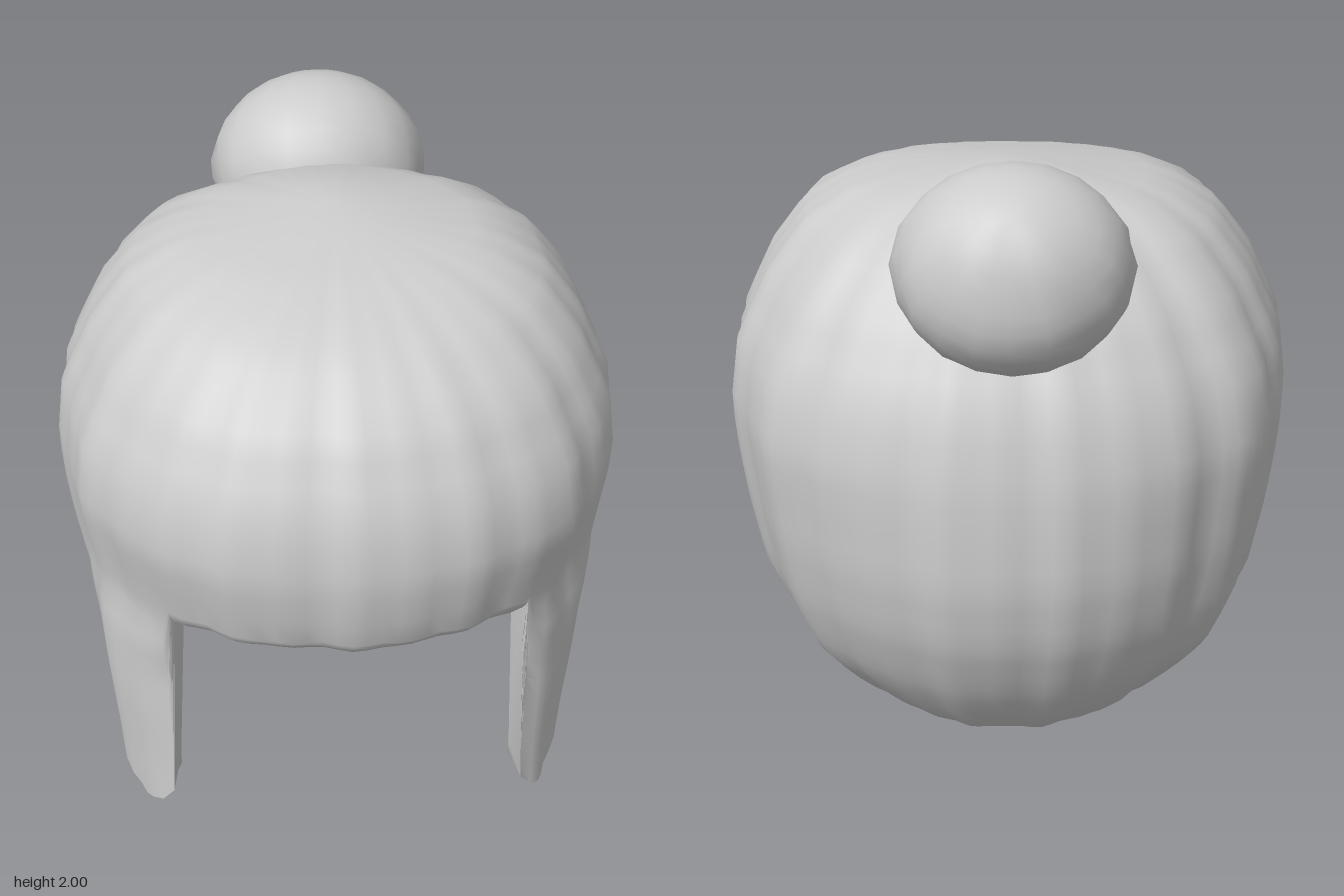
import * as THREE from 'three';
import { toCreasedNormals } from 'three/addons/utils/BufferGeometryUtils.js';

// Piecewise-linear lookup; keys rise
function lookup(keys, values, k) {
  if (k <= keys[0]) return values[0];
  for (let i = 1; i < keys.length; i++) {
    if (k <= keys[i]) {
      const t = (k - keys[i - 1]) / (keys[i] - keys[i - 1]);
      return values[i - 1] + (values[i] - values[i - 1]) * t;
    }
  }
  return values[values.length - 1];
}

const TOP = 1.84, BAND = 0.9, LOCK_X = 0.53;

// Half-widths of the hair at each height, in four directions
const heights = [0, 0.2, 0.4, 0.6, 0.8, 0.95, 1.15, 1.35, 1.55, 1.7, 1.8, 1.84];
const frontZ = [0.72, 0.7, 0.69, 0.7, 0.82, 0.86, 0.885, 0.845, 0.73, 0.54, 0.29, 0];
const backZ = [0.45, 0.63, 0.75, 0.84, 0.875, 0.87, 0.85, 0.79, 0.67, 0.52, 0.36, 0];
const sideFrontX = [0.73, 0.745, 0.765, 0.79, 0.825, 0.845, 0.855, 0.83, 0.735, 0.625, 0.46, 0];
const sideBackX = [0.4, 0.58, 0.72, 0.79, 0.825, 0.845, 0.855, 0.83, 0.735, 0.625, 0.46, 0];
// Squareness of the plan: the side locks have boxy outer corners
const frontPower = [3.5, 3.5, 3.5, 3.1, 2.1, 2.05, 2.3, 2.3, 2.3, 2.3, 2.3, 2.3];
const backPower = [2, 2, 2, 2, 2.05, 2.1, 2.3, 2.3, 2.3, 2.3, 2.3, 2.3];

// Hem height by angle from the front: fringe, side lock, ear gap, nape
const hemAngles = [0, 20, 39, 42, 45, 51, 57, 63, 66, 72, 76, 80, 84, 88, 92, 100, 108, 116, 127, 140, 170, 180];
const hemHeights = [0.8, 0.82, 0.84, 0.1, 0.04, 0, 0.02, 0.09, 0.2, 0.42, 0.6, 0.73, 0.76, 0.75, 0.67, 0.48, 0.35, 0.28, 0.21, 0.17, 0.14, 0.16];

// Rounded-square plan radius with soft strand ridges
function radius(angle, deg, y) {
  const front = deg < 90;
  const rz = lookup(heights, front ? frontZ : backZ, y);
  const rx = lookup(heights, front ? sideFrontX : sideBackX, y);
  const p = lookup(heights, front ? frontPower : backPower, y);
  if (rx < 1e-4) return 0;
  const r = Math.pow(
    Math.pow(Math.abs(Math.sin(angle)) / rx, p) + Math.pow(Math.abs(Math.cos(angle)) / rz, p), -1 / p);
  const strands = 0.006 * Math.cos(angle * 30) + 0.006 * Math.sin(angle * 17 + 1) + 0.005 * Math.sin(angle * 11);
  const layerEdge = 0.025 * Math.exp(-(((deg - 128) / 7) ** 2));
  return r * (1 + strands + layerEdge);
}

// Closed shell: crown to hem outside, hem to crown inside
function hairGeometry(columns = 120, rows = 28) {
  const pos = [], index = [];
  const total = rows * 2;
  pos.push(0, TOP + 0.01, 0);
  for (let i = 1; i < total; i++) {
    const inner = i > rows;
    const s = (inner ? total - i : i) / rows;
    for (let j = 0; j < columns; j++) {
      const a = (j / columns) * Math.PI * 2;
      const deg = (Math.min(j, columns - j) * 360) / columns;
      const fringe = deg < 40;
      const lock = !fringe && deg < 82;
      const ripple = deg > 95 ? 0.01 * Math.sin(a * 13) : 0;
      const hem = lookup(hemAngles, hemHeights, deg) + ripple;
      const lower = Math.max(0, (s - 0.6) / 0.4);
      let y = s < 0.6 ? TOP - (TOP - BAND) * (s / 0.6) ** 1.9 : BAND + (hem - BAND) * lower;
      // The hem curls inward, most of all at the middle of the fringe
      let r = radius(a, deg, y);
      if (fringe) r -= 0.08 * Math.cos(a * 2) * lower ** 2;
      else if (!lock) r -= 0.04 * Math.max(0, (s - 0.85) / 0.15) ** 2;
      // Thin lining, thicker in the side locks
      if (inner) {
        r = Math.max(0, r - 0.05 * Math.min(1, s * 3) - (lock ? 0.07 * lower : 0));
        y -= 0.05 * Math.max(0, 1 - s / 0.6);
      }
      let x = Math.sin(a) * r;
      const z = Math.cos(a) * r;
      // Flat inner face of the side locks
      if (lock && y < BAND) x = Math.sign(x) * Math.max(Math.abs(x), LOCK_X);
      // Low crest in front of the bun
      if (!inner) y += 0.04 * Math.exp(-(x * x + (z + 0.2) ** 2) / 0.05);
      pos.push(x, y, z);
    }
  }
  pos.push(0, TOP - 0.05, 0);
  const last = pos.length / 3 - 1;
  const id = (i, j) => (i === 0 ? 0 : i === total ? last : 1 + (i - 1) * columns + (j % columns));
  for (let i = 0; i < total; i++) {
    for (let j = 0; j < columns; j++) {
      const a = id(i, j), b = id(i + 1, j), c = id(i + 1, j + 1), d = id(i, j + 1);
      if (i < total - 1) index.push(a, b, c);
      if (i > 0) index.push(a, c, d);
    }
  }
  const geo = new THREE.BufferGeometry();
  geo.setAttribute('position', new THREE.Float32BufferAttribute(pos, 3));
  geo.setIndex(index);
  return toCreasedNormals(geo, 1.0);
}

// Gathered bun: an open-based ball, fuller low at the back, with shallow folds
function bunGeometry() {
  const geo = new THREE.SphereGeometry(1, 20, 12, 0, Math.PI * 2, 0, Math.PI * 0.72);
  geo.rotateX(-0.75);
  const p = geo.attributes.position;
  for (let i = 0; i < p.count; i++) {
    const x = p.getX(i), y = p.getY(i), z = p.getZ(i);
    const fold = 1 + 0.02 * Math.cos(Math.atan2(z, x) * 10) * (1 - y * y);
    const full = y < 0 && z < 0 ? 1 + 0.2 * y * z : 1;
    p.setXYZ(i, x * 0.34 * fold, y * 0.3, z * 0.285 * fold * full);
  }
  return toCreasedNormals(geo, 2);
}

export function createModel() {
  const group = new THREE.Group();
  group.name = 'hairpiece';
  const material = new THREE.MeshStandardMaterial({ color: 0xcccccc, side: THREE.DoubleSide });

  // Fringe, side locks and back hair
  const hair = new THREE.Mesh(hairGeometry(), material);
  hair.name = 'hair';
  group.add(hair);

  // Bun high on the back of the head
  const bun = new THREE.Mesh(bunGeometry(), material);
  bun.name = 'bun';
  bun.position.set(-0.02, 1.7, -0.585);
  group.add(bun);

  return group;
}
